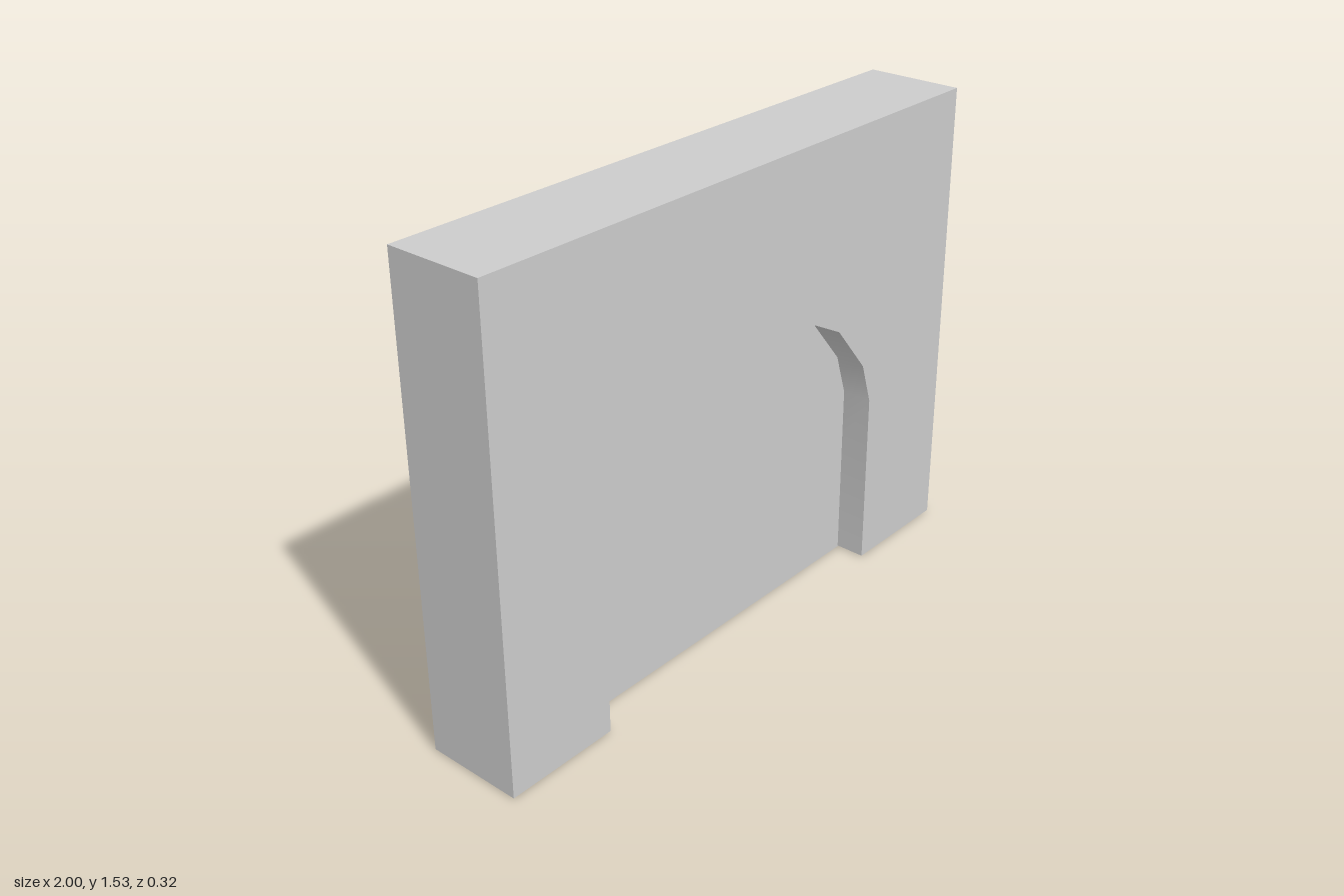
import * as THREE from 'three';
import { toCreasedNormals } from 'three/addons/utils/BufferGeometryUtils.js';

const CENTER = -0.0075; // the opening sits slightly off the middle
const BASE = 0.003; // piers end just above the panel's foot

// Half of the faceted arch, from spring line to crown: [half width, height]
const ARCH = [[0.6125, 0.59], [0.5675, 0.73], [0.4325, 0.895], [0.235, 1.0]];
const CROWN = 1.035;

// Points of the arch from the left foot over the crown to the right foot
function archPoints(bottom, grow = 0) {
  const right = [[ARCH[0][0], bottom], ...ARCH].map(([x, y]) => [x + grow, y + (y > bottom ? grow : 0)]);
  return [
    ...right.map(([x, y]) => new THREE.Vector2(CENTER + x, y)),
    new THREE.Vector2(CENTER, CROWN + grow),
    ...right.reverse().map(([x, y]) => new THREE.Vector2(CENTER - x, y)),
  ];
}

// Extrude a shape between two depths, smooth only along the arch
function slab(name, shape, zBack, zFront, material) {
  const geometry = new THREE.ExtrudeGeometry(shape, { depth: zFront - zBack, bevelEnabled: false });
  geometry.translate(0, 0, zBack);
  const mesh = new THREE.Mesh(toCreasedNormals(geometry, 0.65), material);
  mesh.name = name;
  return mesh;
}

export function createModel() {
  const group = new THREE.Group();
  group.name = 'archedWall';
  const material = new THREE.MeshStandardMaterial({ color: 0xcccccc });

  // Wall with an arched opening down to the ground
  const wall = new THREE.Shape([
    new THREE.Vector2(-1, BASE),
    ...archPoints(BASE).reverse(),
    new THREE.Vector2(1, BASE),
    new THREE.Vector2(1, 1.53),
    new THREE.Vector2(-1, 1.53),
  ]);
  group.add(slab('wall', wall, -0.16, 0.16, material));

  // Recessed panel filling the arch, its rim tucked into the wall
  group.add(slab('recessedPanel', new THREE.Shape(archPoints(0, 0.03)), -0.045, 0.06, material));

  return group;
}
